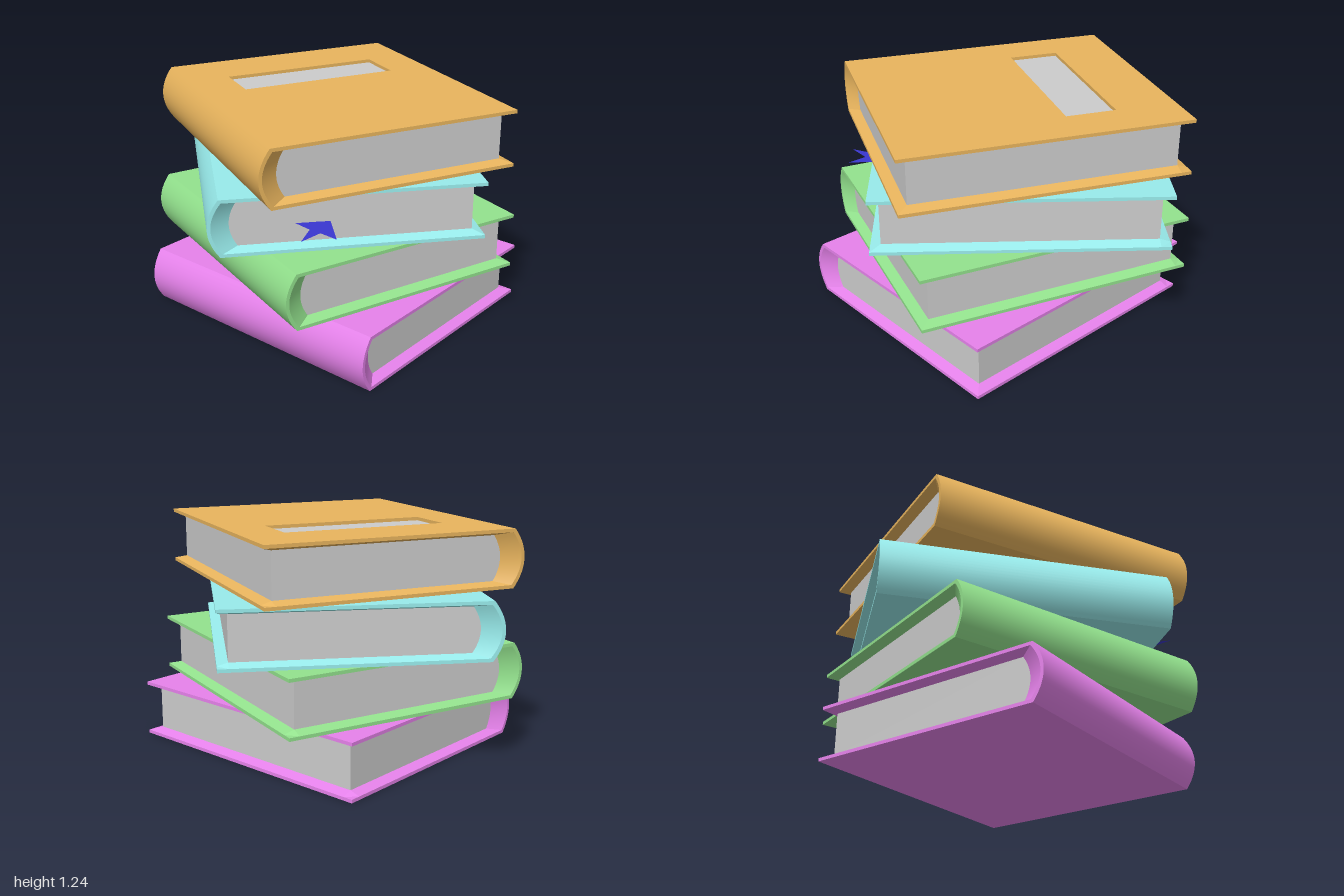
import * as THREE from 'three';
import { toCreasedNormals } from 'three/addons/utils/BufferGeometryUtils.js';

const H = 0.305;      // book height
const D = 0.76;       // half depth of the cover
const X = 0.70;       // fore edge of the cover
const PX = 0.645;     // fore edge of the pages
const PD = 0.705;     // half depth of the pages
const THIN = 0.018;   // board thickness at its rim
const THICK = 0.035;  // board thickness over the pages
const SEG = 16;

const paper = () => new THREE.MeshStandardMaterial({ color: 0xcccccc });

// Curved spine line from bottom to top
function spineLine(x, bulge, inset) {
  const pts = [];
  for (let i = 0; i <= SEG; i++) {
    const t = (2 * i) / SEG - 1;
    pts.push(new THREE.Vector2(x - bulge * (1 - t * t), H / 2 + (H / 2 - inset) * t));
  }
  return pts;
}
const outerSpine = spineLine(-0.64, 0.06, 0);
const rimSpine = spineLine(-0.628, 0.054, THIN);
const pageSpine = spineLine(-0.55, 0.04, THICK);

function addMesh(parent, name, geometry, material) {
  const mesh = new THREE.Mesh(geometry, material);
  mesh.name = name;
  parent.add(mesh);
  return mesh;
}

// Extrude a cross-section along z, centred
function prism(points, halfDepth) {
  const g = new THREE.ExtrudeGeometry(new THREE.Shape(points), { depth: 2 * halfDepth, bevelEnabled: false });
  g.translate(0, 0, -halfDepth);
  return toCreasedNormals(g, 0.4);
}

// Inside of the cover: thin at the rim, sloping up to full thickness at the pages
function liningGeometry() {
  const section = (spine, inset) => [
    new THREE.Vector2(X, THIN), new THREE.Vector2(PX, inset), ...spine,
    new THREE.Vector2(PX, H - inset), new THREE.Vector2(X, H - THIN),
  ];
  const rim = section(rimSpine, THIN), full = section(pageSpine, THICK);
  const stations = [[rim, -D], [full, -PD], [full, PD], [rim, D]];
  const pos = [], idx = [], n = rim.length;
  stations.forEach(([pts, z]) => pts.forEach((p) => pos.push(p.x, p.y, z)));
  for (let r = 0; r < 3; r++) {
    for (let c = 0; c < n - 1; c++) {
      const a = r * n + c, b = a + n;
      idx.push(a, a + 1, b, a + 1, b + 1, b);
    }
  }
  const g = new THREE.BufferGeometry();
  g.setAttribute('position', new THREE.Float32BufferAttribute(pos, 3));
  g.setIndex(idx);
  return toCreasedNormals(g, 0.25);
}

// Flat top board, with an optional label window
function boardGeometry(label) {
  const rect = (Type, x0, x1, y0, y1) => new Type([
    new THREE.Vector2(x0, y0), new THREE.Vector2(x1, y0),
    new THREE.Vector2(x1, y1), new THREE.Vector2(x0, y1),
  ]);
  const shape = rect(THREE.Shape, -0.64, X, -D, D);
  if (label) shape.holes.push(rect(THREE.Path, label.x0, label.x1, -label.z1, -label.z0));
  const g = new THREE.ExtrudeGeometry(shape, { depth: THIN, bevelEnabled: false });
  g.rotateX(-Math.PI / 2);
  g.translate(0, H - THIN, 0);
  return g;
}

function createBook({ name, color, x, y, z, turn, label }) {
  const book = new THREE.Group();
  book.name = name;
  const cloth = new THREE.MeshStandardMaterial({ color });

  // Bottom board and spine in one section
  const section = [
    new THREE.Vector2(X, 0), new THREE.Vector2(X, THIN),
    ...rimSpine, ...outerSpine.slice().reverse(),
  ];
  addMesh(book, 'spineAndBottomBoard', prism(section, D), cloth);
  addMesh(book, 'topBoard', boardGeometry(label), cloth);
  addMesh(book, 'coverLining', liningGeometry(), cloth);

  // Page block
  const pages = [new THREE.Vector2(PX, THICK), new THREE.Vector2(PX, H - THICK), ...pageSpine.slice().reverse()];
  addMesh(book, 'pages', prism(pages, PD), paper());

  // Recessed label
  if (label) {
    const w = label.x1 - label.x0, d = label.z1 - label.z0;
    const panel = addMesh(book, 'label', new THREE.BoxGeometry(w, 0.012, d), paper());
    panel.position.set(label.x0 + w / 2, H - THIN - 0.006, label.z0 + d / 2);
  }
  book.position.set(x, y, z);
  book.rotation.y = turn;
  return book;
}

// Flat arrow-shaped page marker
function createMarker() {
  const outline = [
    [-0.29, 0.57], [-0.355, 0.78], [-0.395, 0.68],
    [-0.52, 0.73], [-0.425, 0.62], [-0.46, 0.515],
  ].map(([x, z]) => new THREE.Vector2(x, -z));
  const g = new THREE.ShapeGeometry(new THREE.Shape(outline));
  g.rotateX(-Math.PI / 2);
  const marker = new THREE.Mesh(g, new THREE.MeshStandardMaterial({ color: 0x3a36d0, side: THREE.DoubleSide }));
  marker.name = 'pageMarker';
  marker.position.y = 0.755;
  return marker;
}

export function createModel() {
  const model = new THREE.Group();
  model.name = 'bookStack';
  [
    { name: 'bottomBook', color: 0xe682eb, x: -0.005, y: 0, z: 0.02, turn: 0.432 },
    { name: 'secondBook', color: 0x93e28d, x: -0.021, y: 0.318, z: -0.032, turn: 0.112 },
    { name: 'thirdBook', color: 0x98ebeb, x: -0.017, y: 0.622, z: -0.089, turn: -0.27 },
    {
      name: 'topBook', color: 0xe8b45d, x: -0.02, y: 0.936, z: -0.043, turn: 0,
      label: { x0: -0.41, x1: 0.47, z0: -0.427, z1: -0.157 },
    },
  ].forEach((spec) => model.add(createBook(spec)));
  model.add(createMarker());
  return model;
}
